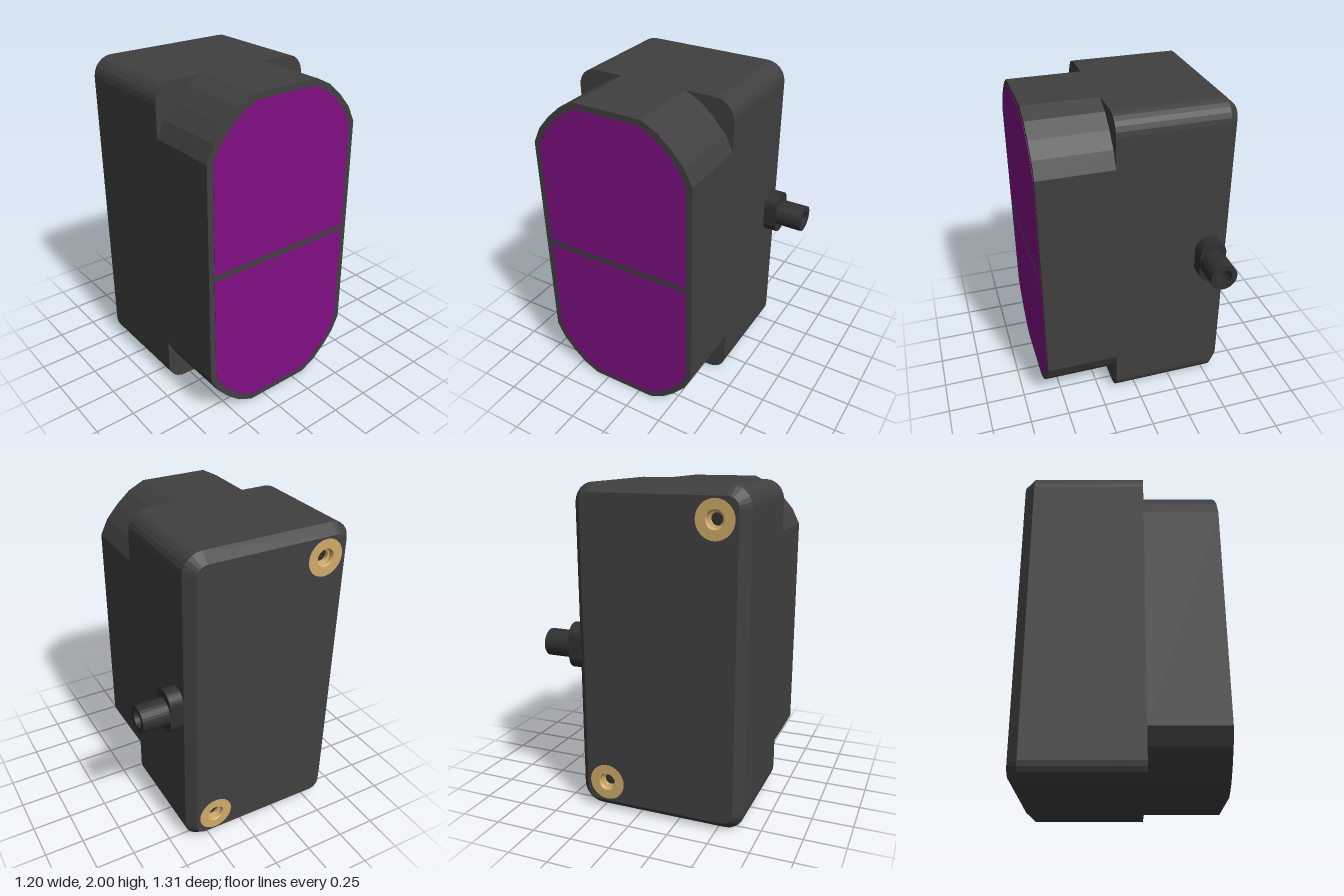
import * as THREE from 'three';

const CZ = 0.1275, HW = 0.5275; // depth centre and half depth of the housing
const dark = new THREE.MeshStandardMaterial({ color: 0x404040, flatShading: true });
const darker = new THREE.MeshStandardMaterial({ color: 0x303030 });
const purple = new THREE.MeshStandardMaterial({ color: 0x800e84 });
const brass = new THREE.MeshStandardMaterial({ color: 0xd0ac68, side: THREE.DoubleSide });

// Corner offsets [across, up] from the sharp corner, running from the side to the top.
function roundCorner(r, n = 6) {
  return Array.from({ length: n + 1 }, (_, i) => {
    const a = (i / n) * Math.PI / 2;
    return [r * (1 - Math.cos(a)), r * (1 - Math.sin(a))];
  });
}
const wideCorner = [[0, 0.31], [0.05, 0.21], [0.125, 0.125], [0.21, 0.05], [0.31, 0]];

// Counter-clockwise outline in the (-z, y) plane.
function outline(hw, y0, y1, top, bottom) {
  const p = [];
  const add = (x, y) => p.push(new THREE.Vector2(x - CZ, y));
  [...top].forEach(([a, b]) => add(hw - a, y1 - b));
  [...top].reverse().forEach(([a, b]) => add(-hw + a, y1 - b));
  [...bottom].forEach(([a, b]) => add(-hw + a, y0 + b));
  [...bottom].reverse().forEach(([a, b]) => add(hw - a, y0 + b));
  return p;
}

// Extrudes an outline along x.
function slab(points, x0, x1) {
  const g = new THREE.ExtrudeGeometry(new THREE.Shape(points), { depth: x1 - x0, bevelEnabled: false });
  return g.rotateY(Math.PI / 2).translate(x0, 0, 0);
}

// Chamfer wall between two outlines with equal point counts.
function chamfer(a, xa, b, xb) {
  const v = [], idx = [], n = a.length;
  a.forEach((p, i) => v.push(xa, p.y, -p.x, xb, b[i].y, -b[i].x));
  for (let i = 0; i < n; i++) {
    const j = (i + 1) % n;
    idx.push(2 * i, 2 * j, 2 * i + 1, 2 * j, 2 * j + 1, 2 * i + 1);
  }
  const g = new THREE.BufferGeometry();
  g.setAttribute('position', new THREE.Float32BufferAttribute(v, 3));
  g.setIndex(idx);
  g.computeVertexNormals();
  return g;
}

export function createModel() {
  const model = new THREE.Group();
  const add = (name, geo, mat, parent = model) => {
    const m = new THREE.Mesh(geo, mat);
    m.name = name;
    parent.add(m);
    return m;
  };

  // Rear housing with chamfered end
  const c = 0.055;
  const outer = outline(HW, 0, 2, roundCorner(0.12), roundCorner(0.12));
  const inner = outline(HW - c, c, 2 - c, roundCorner(0.065), roundCorner(0.065));
  add('rearHousing', slab(outer, -0.54, 0.14), dark);
  add('rearChamfer', chamfer(inner, -0.6, outer, -0.54), dark);

  // End plate with two holes for the inserts
  const inserts = [[1.82, CZ + 0.34], [0.18, CZ - 0.34]];
  const plate = new THREE.Shape(inner);
  inserts.forEach(([y, z]) => plate.holes.push(new THREE.Path().absarc(-z, y, 0.112, 0, Math.PI * 2, true)));
  const plateGeo = new THREE.ShapeGeometry(plate, 16).rotateY(-Math.PI / 2);
  plateGeo.scale(1, 1, -1); // mirror to match the extrusion axes
  const ix = plateGeo.index.array;
  for (let i = 0; i < ix.length; i += 3) [ix[i], ix[i + 1]] = [ix[i + 1], ix[i]];
  add('endPlate', plateGeo.translate(-0.6, 0, 0), dark);

  // Brass threaded inserts
  inserts.forEach(([y, z]) => {
    const insert = new THREE.Group();
    insert.name = 'threadedInsert';
    const profile = [[0.113, -0.055], [0.113, 0.002], [0.055, 0.002], [0.048, -0.01],
      [0.048, -0.025], [0.036, -0.03], [0.036, -0.055]].map(([r, h]) => new THREE.Vector2(r, h));
    const ring = new THREE.LatheGeometry(profile, 32).toNonIndexed();
    ring.computeVertexNormals();
    add('insertRing', ring, brass, insert);
    const floor = add('insertFloor', new THREE.CircleGeometry(0.04, 24).rotateX(-Math.PI / 2), darker, insert);
    floor.position.y = -0.05;
    insert.rotation.z = Math.PI / 2;
    insert.position.set(-0.6, y, z);
    model.add(insert);
  });

  // Narrower front housing with wide faceted corners
  add('frontHousing', slab(outline(HW, 0, 2, wideCorner, wideCorner), 0.14, 0.598), dark);

  // Two coloured face panels
  const rim = 0.037, square = [[0, 0]];
  const soft = wideCorner.map(([a, b]) => [a * 0.92, b * 0.92]);
  add('upperPanel', slab(outline(HW - rim, 1.02, 2 - rim, soft, square), 0.58, 0.6), purple);
  add('lowerPanel', slab(outline(HW - rim, rim, 0.98, square, soft), 0.58, 0.6), purple);

  // Cable connector on the back
  const connector = new THREE.Group();
  connector.name = 'connector';
  const r = 0.085, s = 0.0575;
  const flange = new THREE.Shape();
  flange.absarc(0, s, r, 0, Math.PI, false);
  flange.absarc(0, -s, r, Math.PI, Math.PI * 2, false);
  add('connectorFlange', new THREE.ExtrudeGeometry(flange, { depth: 0.095, bevelEnabled: false, curveSegments: 16 }), darker, connector);
  const tube = new THREE.Shape().absarc(0, 0, r, 0, Math.PI * 2, false);
  tube.holes.push(new THREE.Path().absarc(0, 0, 0.052, 0, Math.PI * 2, true));
  add('connectorTube', new THREE.ExtrudeGeometry(tube, { depth: 0.17, bevelEnabled: false, curveSegments: 16 }), darker, connector)
    .position.z = 0.095;
  connector.rotation.y = Math.PI;
  connector.position.set(-0.455, 1.003, -0.39);
  model.add(connector);

  return model;
}
